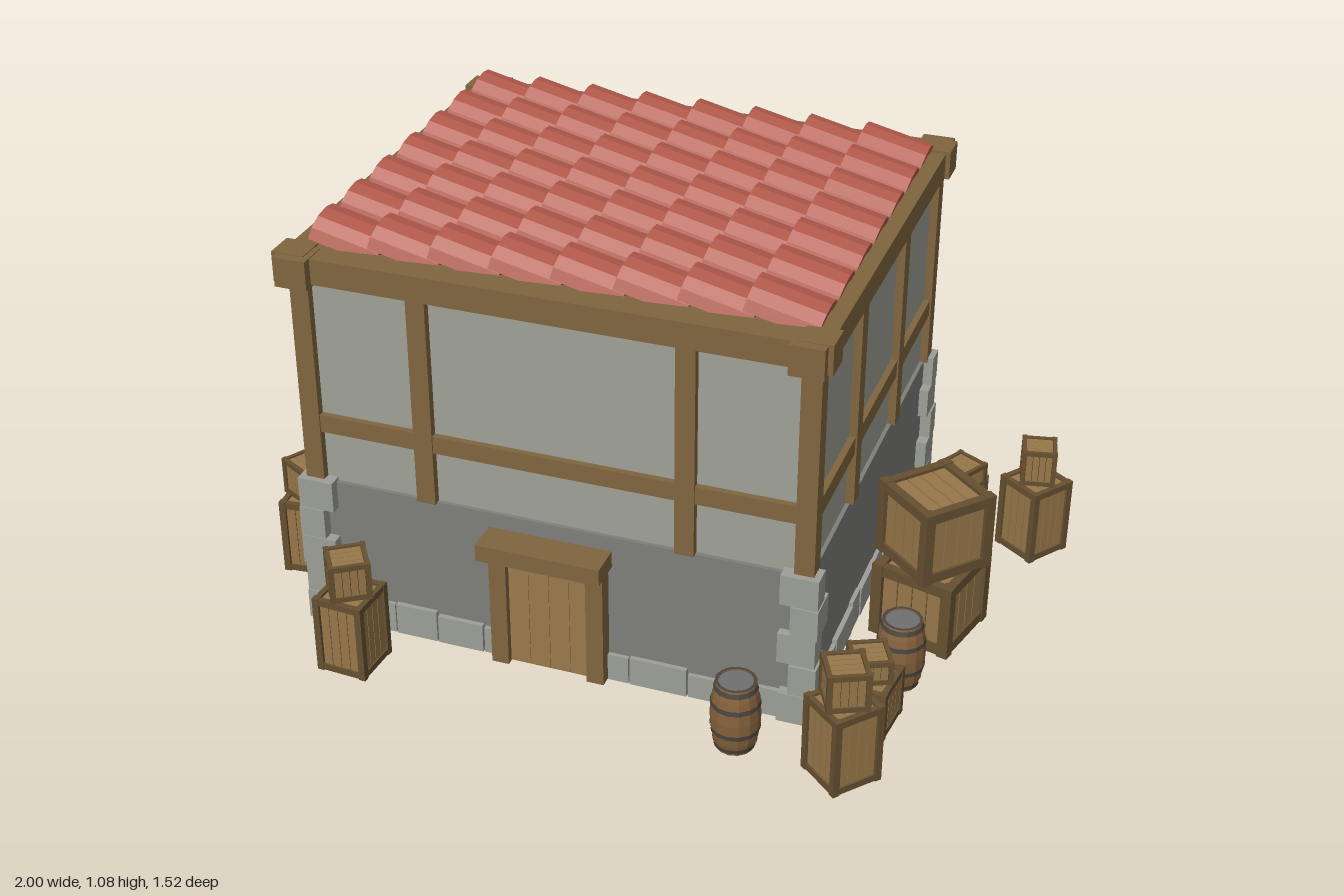
import * as THREE from 'three';
import { mergeGeometries } from 'three/addons/utils/BufferGeometryUtils.js';

const mat = (color, extra = {}) => new THREE.MeshStandardMaterial({ color, flatShading: true, ...extra });
const M = {
  beam: mat(0x80653f), plaster: mat(0x9fa097), wall: mat(0x7e7f79), stone: mat(0x9c9e97),
  floor: mat(0x454743), tile: mat(0xb25a4b), plank: mat(0x977749), frame: mat(0x665031),
  dark: mat(0x46351f), stave: mat(0x86623c), hoop: mat(0x4a4540), lid: mat(0x707070), door: mat(0x9b7a4b),
};

let seed = 7;
const rand = () => (seed = (seed * 16807) % 2147483647) / 2147483647;

// Box given by its minimum and maximum on each axis
function span(x0, x1, y0, y1, z0, z1) {
  return new THREE.BoxGeometry(x1 - x0, y1 - y0, z1 - z0)
    .translate((x0 + x1) / 2, (y0 + y1) / 2, (z0 + z1) / 2);
}

function add(group, name, geos, material) {
  const mesh = new THREE.Mesh(Array.isArray(geos) ? mergeGeometries(geos) : geos, material);
  mesh.name = name;
  group.add(mesh);
  return mesh;
}

// House outline (outer faces of the corner posts)
const X0 = -0.69, X1 = 0.57, Z0 = -0.575, Z1 = 0.535;

function walls() {
  const g = new THREE.Group();
  g.name = 'walls';
  add(g, 'upperWall', span(X0 + 0.02, X1 - 0.02, 0.41, 0.98, Z0 + 0.02, Z1 - 0.02), M.plaster);
  add(g, 'lowerWall', span(X0 + 0.01, X1 - 0.01, 0.02, 0.412, Z0 + 0.01, Z1 - 0.01), M.wall);
  add(g, 'floor', span(X0 + 0.02, X1 - 0.02, 0.016, 0.03, Z0 + 0.02, Z1 - 0.02), M.floor);

  // Corner stones, alternately long on one face and then the other
  const quoins = [];
  for (const sx of [-1, 1]) for (const sz of [-1, 1]) for (let i = 0; i < 5; i++) {
    const out = 0.012 + 0.008 * rand();
    const w = i % 2 ? 0.065 : 0.09, d = i % 2 ? 0.085 : 0.055;
    const cx = sx < 0 ? X0 - out + w / 2 : X1 + out - w / 2;
    const cz = sz < 0 ? Z0 - out + d / 2 : Z1 + out - d / 2;
    quoins.push(new THREE.BoxGeometry(w, 0.079, d).translate(cx, 0.057 + i * 0.081, cz));
  }
  add(g, 'cornerStones', quoins, M.stone);

  // Row of uneven footing stones along each wall
  const footing = [];
  const row = (from, to, place) => {
    for (let a = from; a < to - 0.02;) {
      const b = Math.min(a + 0.07 + 0.08 * rand(), to);
      place(a + 0.002, b - 0.002, 0.075 + 0.025 * rand(), 0.003 * rand());
      a = b;
    }
  };
  row(X0 + 0.07, X1 - 0.07, (a, b, h, o) => footing.push(span(a, b, 0.014, h, Z1 - 0.04, Z1 + o)));
  row(X0 + 0.07, X1 - 0.07, (a, b, h, o) => footing.push(span(a, b, 0.014, h, Z0 - o, Z0 + 0.04)));
  row(Z0 + 0.06, Z1 - 0.06, (a, b, h, o) => footing.push(span(X0 - o, X0 + 0.04, 0.014, h, a, b)));
  row(Z0 + 0.06, Z1 - 0.06, (a, b, h, o) => footing.push(span(X1 - 0.04, X1 + o, 0.014, h, a, b)));
  add(g, 'footingStones', footing, M.stone);
  return g;
}

function timberFrame() {
  const g = new THREE.Group();
  g.name = 'timberFrame';
  const posts = [];
  for (const z of [Z0, Z1 - 0.047])
    for (const x of [X0, -0.4, 0.24, X1 - 0.047]) posts.push(span(x, x + 0.047, 0.41, 0.96, z, z + 0.047));
  for (const x of [X0, X1 - 0.047])
    for (const z of [-0.235, 0.155]) posts.push(span(x, x + 0.047, 0.41, 0.96, z, z + 0.047));
  add(g, 'posts', posts, M.beam);

  const rails = [];
  for (const z of [Z0 + 0.004, Z1 - 0.044]) rails.push(span(X0 + 0.02, X1 - 0.02, 0.55, 0.595, z, z + 0.04));
  for (const x of [X0 + 0.004, X1 - 0.044]) rails.push(span(x, x + 0.04, 0.55, 0.595, Z0 + 0.02, Z1 - 0.02));
  add(g, 'middleRails', rails, M.beam);

  // Top beams cross and stick out past each other at the corners
  const top = [];
  for (const z of [-0.59, 0.475]) {
    top.push(span(-0.7, 0.58, 0.95, 1.014, z, z + 0.075));
    for (const x of [-0.72, 0.515]) top.push(span(x, x + 0.08, 0.945, 1.018, z, z + 0.075));
  }
  for (const x of [-0.705, 0.503]) {
    top.push(span(x, x + 0.08, 0.948, 1.012, -0.59, 0.55));
    for (const z of [-0.613, 0.495]) top.push(span(x, x + 0.08, 0.943, 1.016, z, z + 0.078));
  }
  add(g, 'topBeams', top, M.beam);
  return g;
}

// Overlapping rows of arched tiles, each sloping down toward +x
function roof() {
  const g = new THREE.Group();
  g.name = 'roof';
  add(g, 'roofDeck', span(-0.66, 0.54, 0.96, 1.004, -0.55, 0.51), M.beam);
  const arch = new THREE.Shape();
  const N = 6;
  for (let i = 0; i <= N; i++) {
    const a = Math.PI * i / N;
    arch[i ? 'lineTo' : 'moveTo'](0.072 * Math.cos(a), 0.052 * Math.sin(a));
  }
  for (let i = N; i >= 0; i--) {
    const a = Math.PI * i / N;
    arch.lineTo(0.048 * Math.cos(a), 0.028 * Math.sin(a));
  }
  const tile = new THREE.ExtrudeGeometry(arch, { depth: 0.17, bevelEnabled: false })
    .rotateY(Math.PI / 2).rotateZ(-0.23);
  const tiles = [];
  for (let r = 0; r < 7; r++) for (let c = 0; c < 8; c++)
    tiles.push(tile.clone().translate(-0.658 + c * 0.1475, 1.031, -0.472 + r * 0.148));
  add(g, 'roofTiles', tiles, M.tile);
  return g;
}

function door() {
  const g = new THREE.Group();
  g.name = 'door';
  const planks = [];
  for (let i = 0; i < 4; i++) planks.push(span(-0.166 + i * 0.051, -0.116 + i * 0.051, 0.02, 0.335, 0.51, 0.55));
  add(g, 'doorPlanks', planks, M.door);
  add(g, 'doorPosts', [-0.21, 0.033].map(x => span(x, x + 0.043, 0.016, 0.335, 0.51, 0.565)), M.beam);
  add(g, 'doorLintel', span(-0.222, 0.085, 0.33, 0.373, 0.51, 0.608), M.beam);
  return g;
}

// Crate standing on y = 0: dark core, planks on every face, edge frame
function crate(w, h) {
  const g = new THREE.Group();
  g.name = 'crate';
  const t = w * 0.13, r = w / 2, e = w * 0.07;
  add(g, 'crateCore', span(-r + e, r - e, e, h - e, -r + e, r - e), M.dark);
  const planks = [], frame = [], n = 4, inner = w - 2 * t, s = inner / n, gap = s * 0.04, p = e * 0.65;
  for (let i = 0; i < n; i++) {
    const a = -inner / 2 + i * s + gap, b = a + s - 2 * gap;
    planks.push(
      span(a, b, t, h - t, -r + p, r - p),
      span(-r + p, r - p, t, h - t, a, b),
      span(-inner / 2, inner / 2, p, h - p, a, b));
  }
  for (const sx of [-1, 1]) {
    const a = sx < 0 ? -r : r - t;
    for (const sz of [-1, 1]) {
      const c = sz < 0 ? -r : r - t;
      frame.push(span(a, a + t, 0, h, c, c + t));
    }
    const o = w * 0.012;
    for (const y of [o, h - t - o]) {
      frame.push(span(-r + t, r - t, y, y + t, a + o, a + t - o));
      frame.push(span(a + o, a + t - o, y, y + t, -r + t, r - t));
    }
  }
  add(g, 'cratePlanks', planks, M.plank);
  add(g, 'crateFrame', frame, M.frame);
  return g;
}

function barrel() {
  const g = new THREE.Group();
  g.name = 'barrel';
  const radius = y => 0.059 - 0.013 * ((y - 0.095) / 0.09) ** 2;
  const pts = [new THREE.Vector2(0, 0.008)];
  for (let i = 0; i <= 6; i++) pts.push(new THREE.Vector2(radius(0.005 + i * 0.03), 0.005 + i * 0.03));
  pts.push(new THREE.Vector2(0.041, 0.185), new THREE.Vector2(0.041, 0.178));
  add(g, 'barrelStaves', new THREE.LatheGeometry(pts, 14), M.stave);
  const lid = new THREE.CylinderGeometry(0.043, 0.043, 0.004, 14);
  add(g, 'barrelLids', [lid.clone().translate(0, 0.18, 0), lid.translate(0, 0.008, 0)], M.lid);
  const hoops = [0.012, 0.055, 0.125, 0.168].map(y =>
    new THREE.CylinderGeometry(radius(y + 0.012) + 0.0015, radius(y) + 0.0015, 0.012, 14, 1, true).translate(0, y + 0.006, 0));
  add(g, 'barrelHoops', hoops, mat(0x4a4540, { side: THREE.DoubleSide }));
  const rim = new THREE.RingGeometry(0.041, 0.0485, 14).rotateX(-Math.PI / 2).translate(0, 0.1855, 0);
  add(g, 'barrelRim', rim, M.hoop);
  return g;
}

export function createModel() {
  const model = new THREE.Group();
  model.name = 'storehouse';
  model.add(walls(), timberFrame(), roof(), door());

  // Stacks: x, z, lower width, height, turn, then upper width, height, turn
  const stacks = [
    [-0.49, -0.69, 0.128, 0.205, 0.08, 0.1, 0.1, 0.6],
    [-0.53, 0.66, 0.13, 0.205, -0.06, 0.1, 0.1, 0.6],
    [-0.86, -0.335, 0.2, 0.2, -0.62, 0.21, 0.2, -0.15],
    [-0.815, 0.305, 0.13, 0.205, 0.1, 0.1, 0.1, -0.5],
    [0.705, -0.415, 0.13, 0.13, 0.06, 0.095, 0.065, -0.5],
    [0.905, -0.39, 0.13, 0.205, -0.62, 0.088, 0.1, 0.2],
    [0.735, 0.045, 0.215, 0.2, -0.25, 0.2, 0.2, -0.72],
    [0.69, 0.46, 0.13, 0.13, -0.1, 0.095, 0.065, 0.45],
    [0.685, 0.665, 0.13, 0.205, -0.7, 0.1, 0.1, 0.45],
  ];
  for (const [x, z, w, h, a, w2, h2, a2] of stacks) {
    const stack = new THREE.Group();
    stack.name = 'crateStack';
    const low = crate(w, h), high = crate(w2, h2);
    low.rotation.y = a;
    high.rotation.y = a2;
    high.position.y = h;
    stack.add(low, high);
    stack.position.set(x, 0.003, z);
    model.add(stack);
  }

  for (const [x, z] of [[-0.325, -0.7], [-0.83, -0.105], [0.705, -0.195], [0.725, 0.295], [0.43, 0.65]]) {
    const b = barrel();
    b.position.set(x, 0, z);
    model.add(b);
  }
  return model;
}
